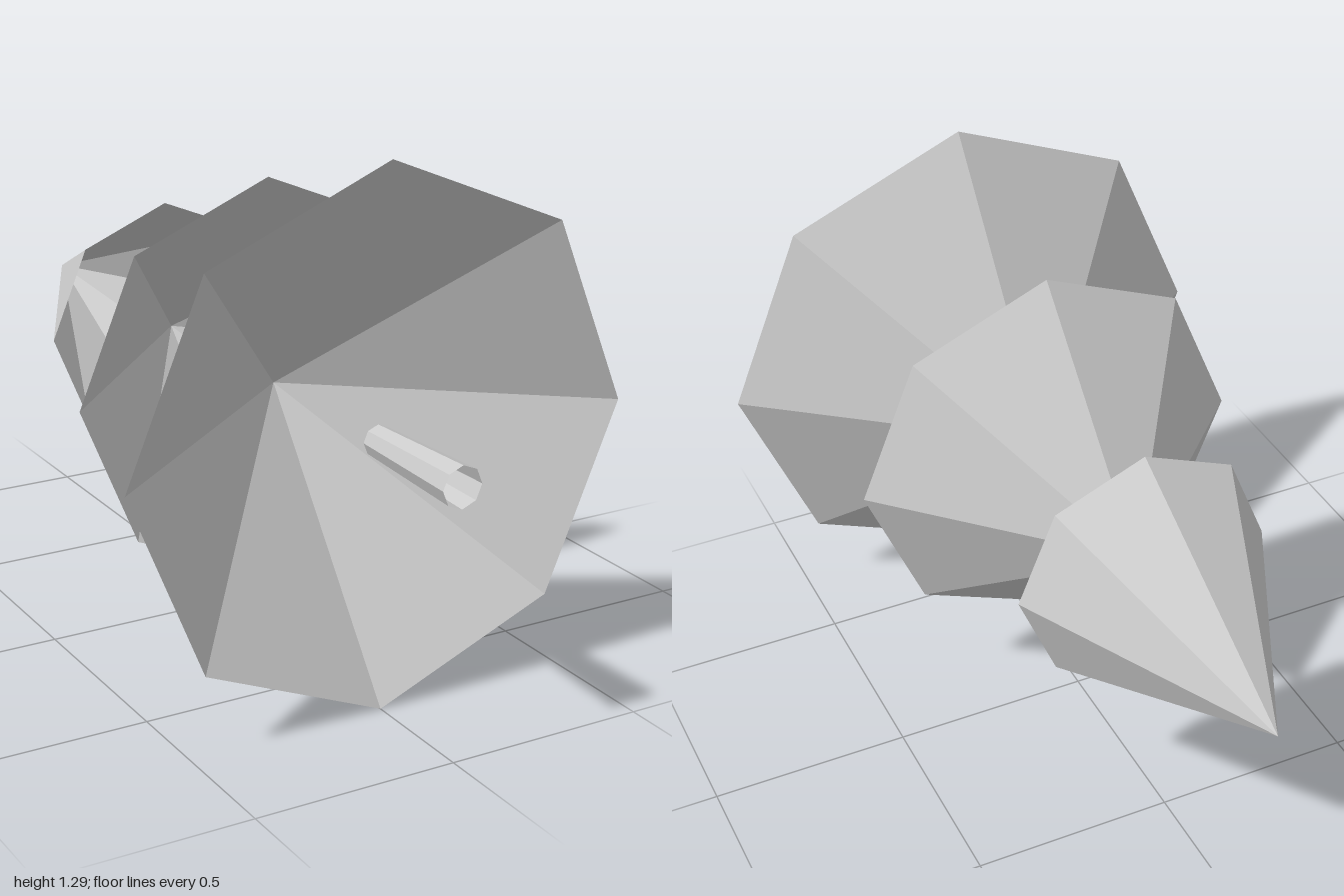
import * as THREE from 'three';

const SIDES = 8;
const AXIS_Y = 0.647;

export function createModel() {
  const tree = new THREE.Group();
  tree.name = 'lyingTree';
  const material = new THREE.MeshStandardMaterial({
    color: 0xcccccc, flatShading: true, side: THREE.DoubleSide,
  });

  // Open, faceted tube along z; the tip end points to -z
  function addPart(name, tipRadius, baseRadius, tipZ, baseZ) {
    const geometry = tipRadius === 0
      ? new THREE.ConeGeometry(baseRadius, baseZ - tipZ, SIDES, 1, true)
      : new THREE.CylinderGeometry(tipRadius, baseRadius, baseZ - tipZ, SIDES, 1, true);
    geometry.rotateX(-Math.PI / 2);
    const mesh = new THREE.Mesh(geometry, material);
    mesh.name = name;
    mesh.position.set(0, AXIS_Y, (tipZ + baseZ) / 2);
    tree.add(mesh);
  }

  // Trunk, then the three hollow tiers of foliage
  addPart('trunk', 0.038, 0.05, 0.67, 1);
  addPart('lowerFoliage', 0, 0.647, 0.205, 0.705);
  addPart('middleFoliage', 0, 0.5, -0.325, 0.175);
  addPart('topFoliage', 0, 0.322, -1, -0.355);

  return tree;
}
